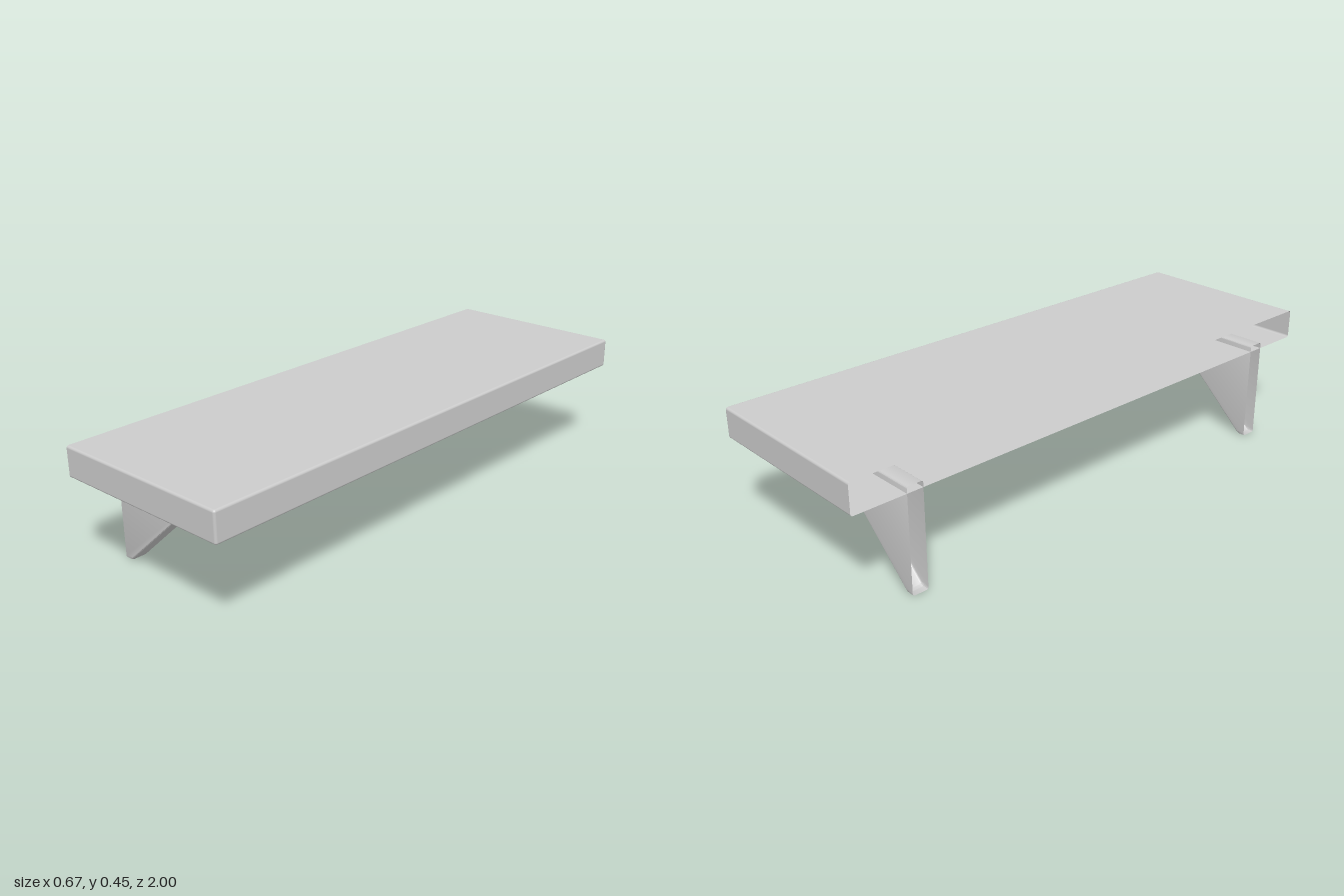
import * as THREE from 'three';
import { toCreasedNormals } from 'three/addons/utils/BufferGeometryUtils.js';
import { RoundedBoxGeometry } from 'three/addons/geometries/RoundedBoxGeometry.js';

const BACK = -0.333, FRONT = 0.333;
const R = 0.008; // edge rounding

// Flattens everything behind the wall plane and drops those faces, leaving the back open
function openBack(source) {
  const geo = source.index ? source.toNonIndexed() : source;
  const p = geo.attributes.position, n = geo.attributes.normal;
  const positions = [], normals = [];
  for (let i = 0; i < p.count; i += 3) {
    const corners = [i, i + 1, i + 2];
    if (corners.every((k) => p.getX(k) < BACK + 1e-4)) continue;
    for (const k of corners) {
      positions.push(Math.max(p.getX(k), BACK), p.getY(k), p.getZ(k));
      normals.push(n.getX(k), n.getY(k), n.getZ(k));
    }
  }
  const open = new THREE.BufferGeometry();
  open.setAttribute('position', new THREE.Float32BufferAttribute(positions, 3));
  open.setAttribute('normal', new THREE.Float32BufferAttribute(normals, 3));
  return open;
}

// Hollow board with softened edges
function boardGeometry() {
  const bottom = 0.345, top = 0.45, rear = BACK - R;
  const geo = new RoundedBoxGeometry(FRONT - rear, top - bottom, 2, 4, R);
  geo.translate((FRONT + rear) / 2, (top + bottom) / 2, 0);
  return openBack(geo);
}

// Triangular bracket, its top sunk a little into the board
function bracketGeometry(width) {
  const rear = BACK - R, top = 0.367;
  const shape = new THREE.Shape();
  shape.moveTo(rear, 0);
  shape.lineTo(-0.312, 0);
  shape.quadraticCurveTo(-0.304, 0, -0.297, 0.006);
  shape.lineTo(0.099, top);
  shape.lineTo(rear, top);
  const geo = new THREE.ExtrudeGeometry(shape, {
    depth: width - 2 * R, bevelThickness: R, bevelSize: R, bevelOffset: -R,
    bevelSegments: 4, curveSegments: 5,
  });
  geo.translate(0, 0, R - width / 2);
  return openBack(toCreasedNormals(geo, 0.6));
}

export function createModel() {
  const group = new THREE.Group();
  group.name = 'wallShelf';
  const material = new THREE.MeshStandardMaterial({ color: 0xcccccc, side: THREE.DoubleSide });

  const board = new THREE.Mesh(boardGeometry(), material);
  board.name = 'board';
  group.add(board);

  const bracketGeo = bracketGeometry(0.058);
  for (const [name, z] of [['frontBracket', 0.797], ['rearBracket', -0.781]]) {
    const bracket = new THREE.Mesh(bracketGeo, material);
    bracket.name = name;
    bracket.position.z = z;
    group.add(bracket);
  }
  return group;
}
